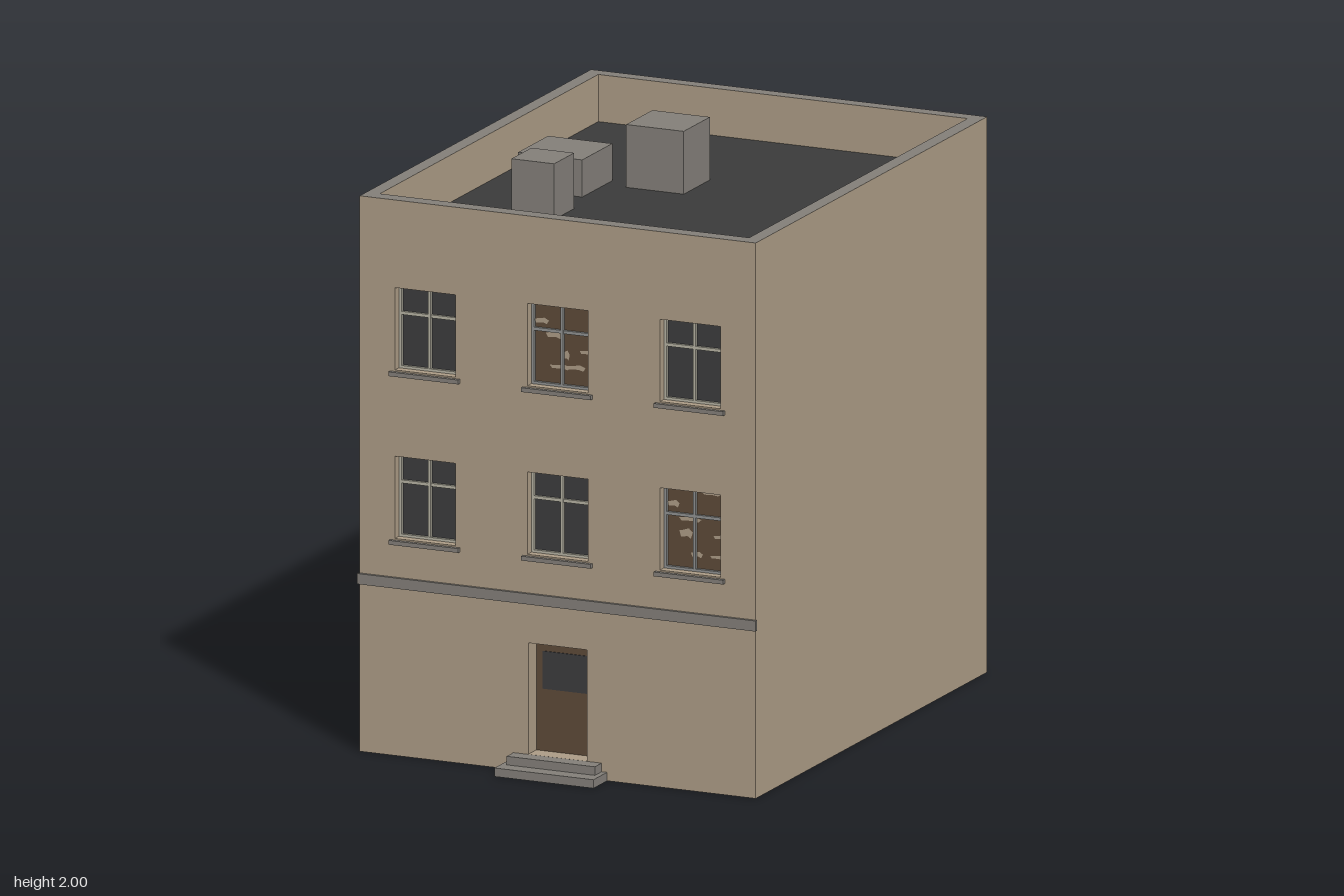
import * as THREE from 'three';

const mat = (name, color, side = THREE.FrontSide) => {
  const m = new THREE.MeshStandardMaterial({ color, side });
  m.name = name;
  return m;
};

// Main extents of the building
const X = 0.74, BACK = -0.98, FRONT = 0.87, TOP = 1.945, DECK = 1.78;
const IX = 0.69, IBACK = -0.93, IFRONT = 0.815;

export function createModel() {
  const root = new THREE.Group();
  root.name = 'townBuilding';
  const plaster = mat('plaster', 0xab9b85, THREE.DoubleSide);
  const stone = mat('stone', 0x827e78);
  const capStone = mat('capStone', 0x827e78, THREE.DoubleSide);
  const roofing = mat('roofing', 0x3a3a3a, THREE.DoubleSide);
  const glass = mat('darkGlass', 0x3b3b3d, THREE.DoubleSide);
  const wood = mat('brownWood', 0x5c4938, THREE.DoubleSide);
  const paint = mat('paleFrame', 0xb5b2a2);
  const dullPaint = mat('dullFrame', 0x8f9190);

  const add = (parent, name, geo, material) => {
    const mesh = new THREE.Mesh(geo, material);
    mesh.name = name;
    parent.add(mesh);
    return mesh;
  };
  const box = (parent, name, material, x0, x1, y0, y1, z0, z1) =>
    add(parent, name, new THREE.BoxGeometry(x1 - x0, y1 - y0, z1 - z0)
      .translate((x0 + x1) / 2, (y0 + y1) / 2, (z0 + z1) / 2), material);
  const rect = (target, x0, x1, y0, y1) => target.moveTo(x0, y0)
    .lineTo(x1, y0).lineTo(x1, y1).lineTo(x0, y1).lineTo(x0, y0);
  // Flat panels facing along z, x and y
  const panelZ = (parent, name, material, x0, x1, y0, y1, z, turn = 0) =>
    add(parent, name, new THREE.PlaneGeometry(x1 - x0, y1 - y0).rotateY(turn)
      .translate((x0 + x1) / 2, (y0 + y1) / 2, z), material);
  const panelX = (parent, name, material, x, y0, y1, z0, z1, dir) =>
    add(parent, name, new THREE.PlaneGeometry(z1 - z0, y1 - y0).rotateY(dir * Math.PI / 2)
      .translate(x, (y0 + y1) / 2, (z0 + z1) / 2), material);
  const panelY = (parent, name, material, x0, x1, y, z0, z1, dir) =>
    add(parent, name, new THREE.PlaneGeometry(x1 - x0, z1 - z0).rotateX(-dir * Math.PI / 2)
      .translate((x0 + x1) / 2, y, (z0 + z1) / 2), material);

  // Openings in the front wall
  const door = { x0: -0.11, x1: 0.11, y0: 0.06, y1: 0.45, depth: 0.065 };
  const windows = [];
  for (const y0 of [0.76, 1.35])
    for (const x of [-0.495, 0, 0.495])
      windows.push({ x, x0: x - 0.113, x1: x + 0.113, y0, y1: y0 + 0.288, depth: 0.045 });

  // Outer walls, open underneath
  const wall = rect(new THREE.Shape(), -X, X, 0, TOP);
  for (const o of [door, ...windows]) wall.holes.push(rect(new THREE.Path(), o.x0, o.x1, o.y0, o.y1));
  add(root, 'frontWall', new THREE.ShapeGeometry(wall).translate(0, 0, FRONT), plaster);
  panelZ(root, 'backWall', plaster, -X, X, 0, TOP, BACK, Math.PI);
  panelX(root, 'leftWall', plaster, X, 0, TOP, BACK, FRONT, 1);
  panelX(root, 'rightWall', plaster, -X, 0, TOP, BACK, FRONT, -1);

  // Roof deck, parapet inside faces and coping
  panelY(root, 'roofDeck', roofing, -IX, IX, DECK, IBACK, IFRONT, 1);
  panelZ(root, 'parapetFront', plaster, -IX, IX, DECK, TOP, IFRONT, Math.PI);
  panelZ(root, 'parapetBack', plaster, -IX, IX, DECK, TOP, IBACK);
  panelX(root, 'parapetLeft', plaster, IX, DECK, TOP, IBACK, IFRONT, -1);
  panelX(root, 'parapetRight', plaster, -IX, DECK, TOP, IBACK, IFRONT, 1);
  const cap = rect(new THREE.Shape(), -X, X, -FRONT, -BACK);
  cap.holes.push(rect(new THREE.Path(), -IX, IX, -IFRONT, -IBACK));
  add(root, 'coping', new THREE.ShapeGeometry(cap).rotateX(-Math.PI / 2).translate(0, TOP, 0), capStone);

  // Rooftop boxes
  box(root, 'roofBoxTall', stone, -0.235, -0.02, DECK, 2.0, -0.39, -0.18);
  box(root, 'roofBoxSmall', stone, -0.435, -0.275, DECK, 1.975, 0.15, 0.31);
  box(root, 'roofBoxLow', stone, -0.555, -0.315, DECK, 1.91, -0.24, 0);

  // Stone band and entrance steps
  const face = FRONT + 0.001;
  box(root, 'stringCourse', stone, -0.745, 0.745, 0.588, 0.625, face, 0.882);
  box(root, 'lowerStep', stone, -0.185, 0.185, 0, 0.03, face, 0.98);
  box(root, 'upperStep', stone, -0.165, 0.165, 0.03, 0.06, face, 0.925);

  // Four sides lining a recessed opening
  const reveal = (parent, o) => {
    const zi = FRONT - o.depth;
    panelX(parent, 'revealRight', plaster, o.x0, o.y0, o.y1, zi, FRONT, 1);
    panelX(parent, 'revealLeft', plaster, o.x1, o.y0, o.y1, zi, FRONT, -1);
    panelY(parent, 'revealBottom', plaster, o.x0, o.x1, o.y0, zi, FRONT, 1);
    panelY(parent, 'revealTop', plaster, o.x0, o.x1, o.y1, zi, FRONT, -1);
  };

  // Door with a glazed upper panel
  const doorGroup = new THREE.Group();
  doorGroup.name = 'door';
  root.add(doorGroup);
  reveal(doorGroup, door);
  const dz = FRONT - door.depth;
  panelZ(doorGroup, 'doorLeaf', wood, door.x0, door.x1, door.y0, door.y1, dz);
  box(doorGroup, 'doorGlass', glass, -0.085, 0.085, 0.278, 0.41, dz + 0.001, dz + 0.004);

  // Ragged gaps in the boarded windows: x, y from the sill centre, width, height
  const gaps = {
    4: [[-0.08, 0.222, 0.055, 0.022], [-0.032, 0.177, 0.065, 0.026], [0.085, 0.127, 0.045, 0.016],
      [-0.01, 0.067, 0.08, 0.018], [0.05, 0.07, 0.07, 0.02], [0.01, 0.11, 0.03, 0.035]],
    2: [[-0.082, 0.227, 0.045, 0.026], [-0.02, 0.178, 0.085, 0.018], [-0.035, 0.128, 0.05, 0.036],
      [0.09, 0.126, 0.045, 0.016], [0.005, 0.057, 0.045, 0.022], [0.06, 0.275, 0.07, 0.012],
      [0.08, 0.055, 0.05, 0.014]],
  };
  const outline = [[-0.5, 0.2], [-0.38, -0.4], [0.1, -0.28], [0.35, -0.5], [0.5, 0.1], [0.2, 0.5], [-0.2, 0.3]];

  windows.forEach((w, i) => {
    const g = new THREE.Group();
    g.name = 'window' + (i + 1);
    root.add(g);
    reveal(g, w);
    const z = FRONT - w.depth, boarded = gaps[i];
    const frame = boarded ? dullPaint : paint;
    panelZ(g, boarded ? 'boards' : 'pane', boarded ? wood : glass, w.x0, w.x1, w.y0, w.y1, z);
    for (const [x, y, sx, sy] of boarded || []) {
      const shape = new THREE.Shape(outline.map(([a, b]) => new THREE.Vector2(w.x + x + a * sx, w.y0 + y + b * sy)));
      add(g, 'boardGap', new THREE.ShapeGeometry(shape).translate(0, 0, z + 0.002), plaster);
    }
    // Frame, mullion and transom
    const border = rect(new THREE.Shape(), w.x0, w.x1, w.y0, w.y1);
    border.holes.push(rect(new THREE.Path(), w.x0 + 0.009, w.x1 - 0.009, w.y0 + 0.009, w.y1 - 0.009));
    add(g, 'frame', new THREE.ExtrudeGeometry(border, { depth: 0.012, bevelEnabled: false })
      .translate(0, 0, z + 0.001), frame);
    box(g, 'mullion', frame, w.x - 0.005, w.x + 0.005, w.y0, w.y1, z + 0.001, z + 0.012);
    box(g, 'transom', frame, w.x0, w.x1, w.y0 + 0.187, w.y0 + 0.198, z + 0.001, z + 0.011);
    box(g, 'sill', stone, w.x - 0.13, w.x + 0.13, w.y0 - 0.02, w.y0 - 0.005, face, 0.885);
  });

  return root;
}
